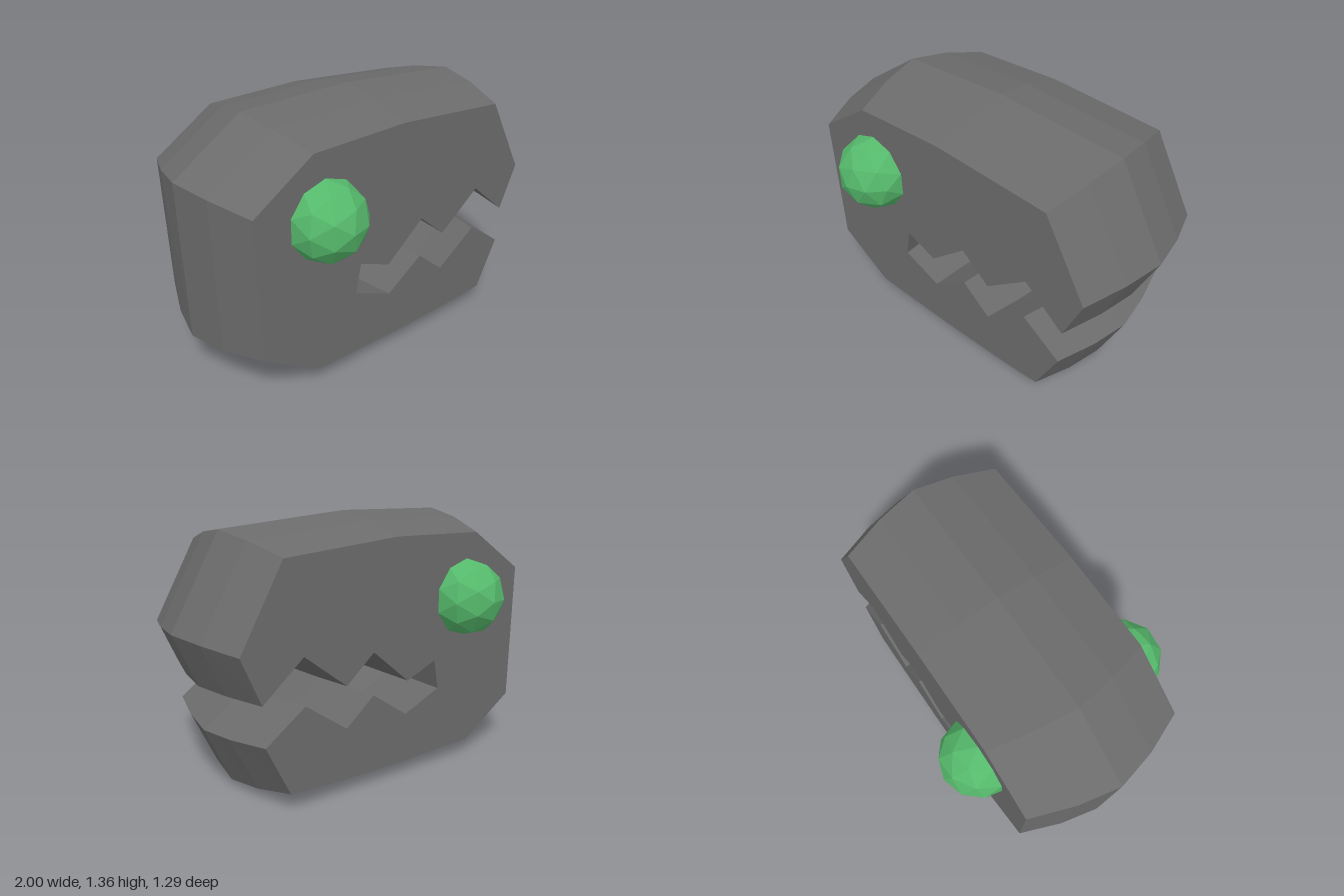
import * as THREE from 'three';

const stone = new THREE.MeshStandardMaterial({ color: 0x6b6b6b, flatShading: true });
stone.name = 'stone grey';
const green = new THREE.MeshStandardMaterial({ color: 0x55b96b, flatShading: true });
green.name = 'eye green';

// Head outline, counter-clockwise: [flat side x, y, bulged middle x, y]
const outline = [
  [-0.53, 0.085, -0.60, 0.01], [0, 0.077, 0, 0], [0.42, 0.085, 0.48, 0.005], [0.64, 0.10, 0.72, 0.03],
  [0.77, 0.365, 0.86, 0.335],
  // lower teeth
  [0.55, 0.52, 0.62, 0.51], [0.31, 0.35, 0.35, 0.32], [0.145, 0.488, 0.165, 0.475], [-0.07, 0.34, -0.08, 0.31],
  // mouth corner
  [-0.295, 0.435, -0.335, 0.415], [-0.265, 0.595, -0.30, 0.59],
  // upper teeth
  [-0.08, 0.52, -0.09, 0.508], [0.145, 0.71, 0.165, 0.72], [0.31, 0.57, 0.35, 0.563], [0.555, 0.76, 0.63, 0.78],
  [0.78, 0.57, 0.875, 0.565],
  // snout, crown and back of the head
  [0.885, 0.81, 1.0, 0.84], [0.655, 1.22, 0.735, 1.31], [0, 1.265, 0, 1.36], [-0.54, 1.248, -0.63, 1.34],
  [-0.865, 1.03, -1.0, 1.09], [-0.85, 0.29, -0.985, 0.25],
];

// Cross-sections across the thickness: [z, amount of bulge]
const sections = [[-0.44, 0], [-0.215, 0.64], [0, 1], [0.215, 0.64], [0.44, 0]];

function headGeometry() {
  const rings = sections.map(([z, k]) => outline.map(([x, y, mx, my]) =>
    new THREE.Vector3(x + (mx - x) * k, y + (my - y) * k, z)));
  const points = [];
  const n = outline.length;
  // walls between neighbouring sections
  for (let r = 0; r < rings.length - 1; r++) {
    for (let i = 0; i < n; i++) {
      const j = (i + 1) % n;
      const [a, b, c, d] = [rings[r][i], rings[r][j], rings[r + 1][j], rings[r + 1][i]];
      points.push(a, b, c, a, c, d);
    }
  }
  // flat cheeks
  const back = rings[0], front = rings[rings.length - 1];
  const contour = outline.map(([x, y]) => new THREE.Vector2(x, y));
  for (const [a, b, c] of THREE.ShapeUtils.triangulateShape(contour, [])) {
    points.push(front[a], front[b], front[c], back[c], back[b], back[a]);
  }
  const geometry = new THREE.BufferGeometry().setFromPoints(points);
  geometry.computeVertexNormals();
  return geometry;
}

export function createModel() {
  const model = new THREE.Group();
  model.name = 'toothedHead';

  const head = new THREE.Mesh(headGeometry(), stone);
  head.name = 'head';
  model.add(head);

  // one faceted eye on each cheek, pole pointing outward
  const eyeGeometry = new THREE.IcosahedronGeometry(0.205, 1);
  eyeGeometry.rotateX(Math.atan(2 / (1 + Math.sqrt(5))));
  eyeGeometry.rotateZ(Math.PI / 2);
  for (const side of [1, -1]) {
    const eye = new THREE.Mesh(eyeGeometry, green);
    eye.name = side > 0 ? 'frontEye' : 'backEye';
    eye.position.set(-0.477, 0.91, side * 0.44);
    model.add(eye);
  }
  return model;
}
